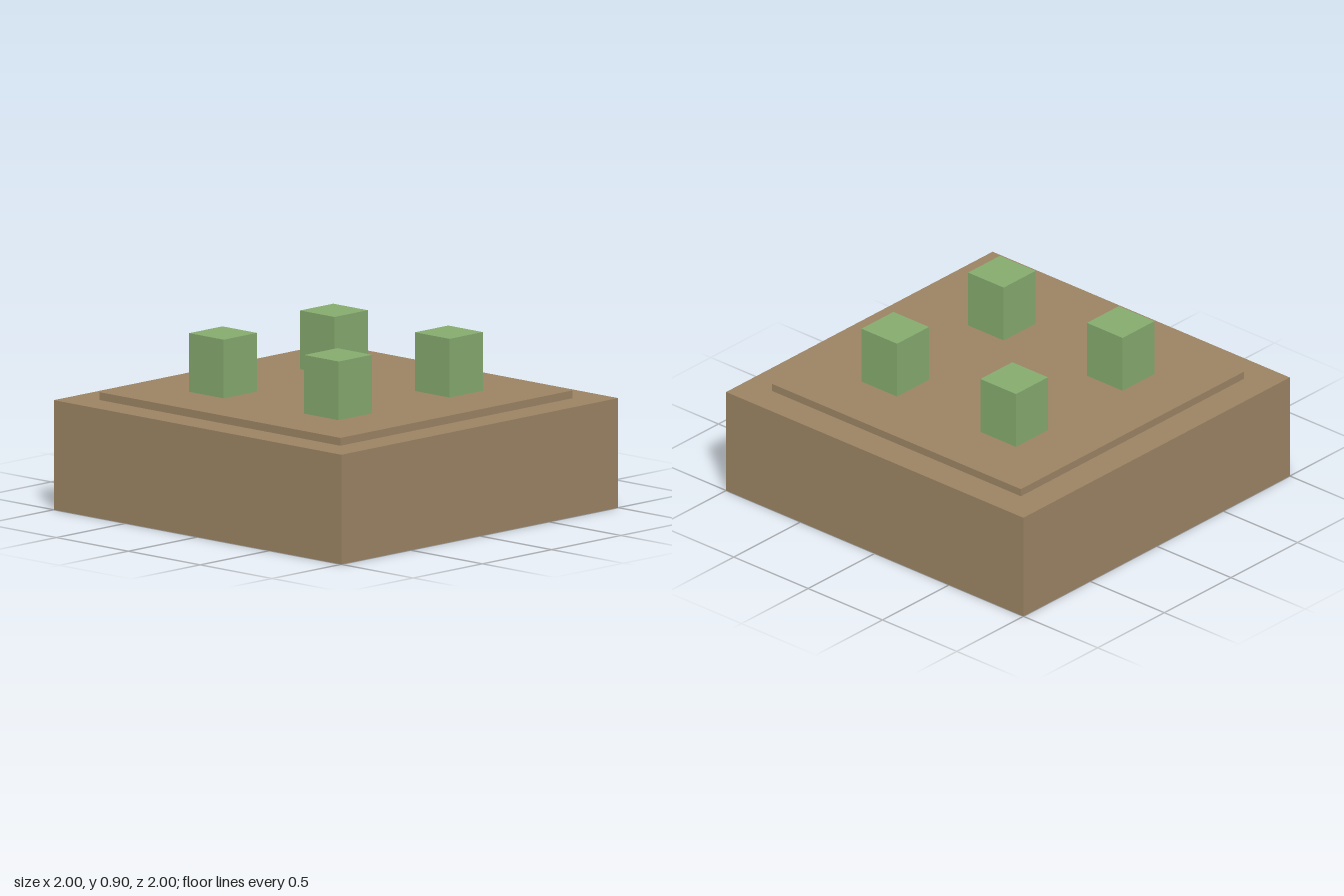
import * as THREE from 'three';

const brown = new THREE.MeshStandardMaterial({ color: 0x9c8464 });
brown.name = 'earth brown';
const green = new THREE.MeshStandardMaterial({ color: 0x86ab6f });
green.name = 'leaf green';

// Closed square outline of the given half width
function square(path, h) {
  path.moveTo(-h, -h);
  path.lineTo(h, -h);
  path.lineTo(h, h);
  path.lineTo(-h, h);
  path.closePath();
  return path;
}

function addBox(parent, name, material, size, position) {
  const mesh = new THREE.Mesh(new THREE.BoxGeometry(...size), material);
  mesh.name = name;
  mesh.position.set(...position);
  parent.add(mesh);
}

export function createModel() {
  const model = new THREE.Group();
  model.name = 'planterBed';

  // Square frame, open underneath
  const outline = square(new THREE.Shape(), 1);
  outline.holes.push(square(new THREE.Path(), 0.8));
  const frameGeometry = new THREE.ExtrudeGeometry(outline, { depth: 0.56, bevelEnabled: false });
  frameGeometry.rotateX(-Math.PI / 2);
  const frame = new THREE.Mesh(frameGeometry, brown);
  frame.name = 'frame';
  model.add(frame);

  // Soil slab set into the frame, rising slightly above the rim
  addBox(model, 'soil', brown, [1.676, 0.16, 1.676], [0, 0.52, 0]);

  // Four sprouts
  const sprouts = new THREE.Group();
  sprouts.name = 'sprouts';
  for (const x of [-0.4, 0.4]) {
    for (const z of [-0.4, 0.4]) {
      addBox(sprouts, 'sprout', green, [0.24, 0.3, 0.24], [x, 0.75, z]);
    }
  }
  model.add(sprouts);

  return model;
}
